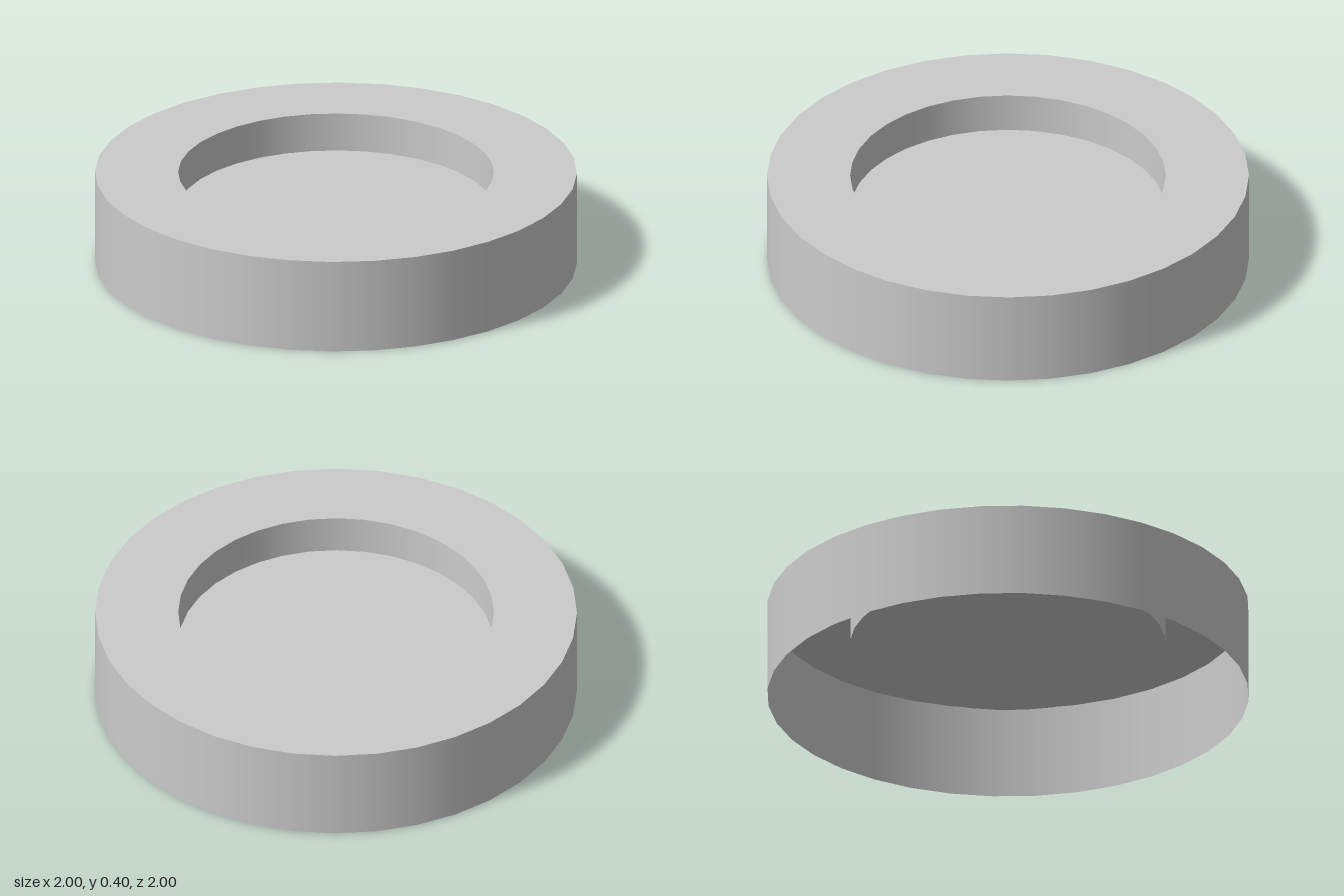
import * as THREE from 'three';

const SIDES = 36;
const OUTER = 1, INNER = 0.655, TOP = 0.4, FLOOR = 0.235;

export function createModel() {
  const group = new THREE.Group();
  group.name = 'recessedDisc';
  const material = new THREE.MeshStandardMaterial({ color: 0xcccccc, side: THREE.DoubleSide });

  const add = (name, geometry) => {
    const mesh = new THREE.Mesh(geometry, material);
    mesh.name = name;
    group.add(mesh);
  };
  // upright wall of revolution between two heights
  const wall = (r, y0, y1) =>
    new THREE.LatheGeometry([new THREE.Vector2(r, y0), new THREE.Vector2(r, y1)], SIDES);

  // thin shell, open underneath
  add('outerWall', wall(OUTER, 0, TOP));
  add('topRim', new THREE.RingGeometry(INNER, OUTER, SIDES).rotateX(-Math.PI / 2).translate(0, TOP, 0));

  // shallow round recess, its wall facing the axis
  add('recessWall', wall(INNER, TOP, FLOOR));
  add('recessFloor', new THREE.CircleGeometry(INNER, SIDES).rotateX(-Math.PI / 2).translate(0, FLOOR, 0));

  return group;
}
